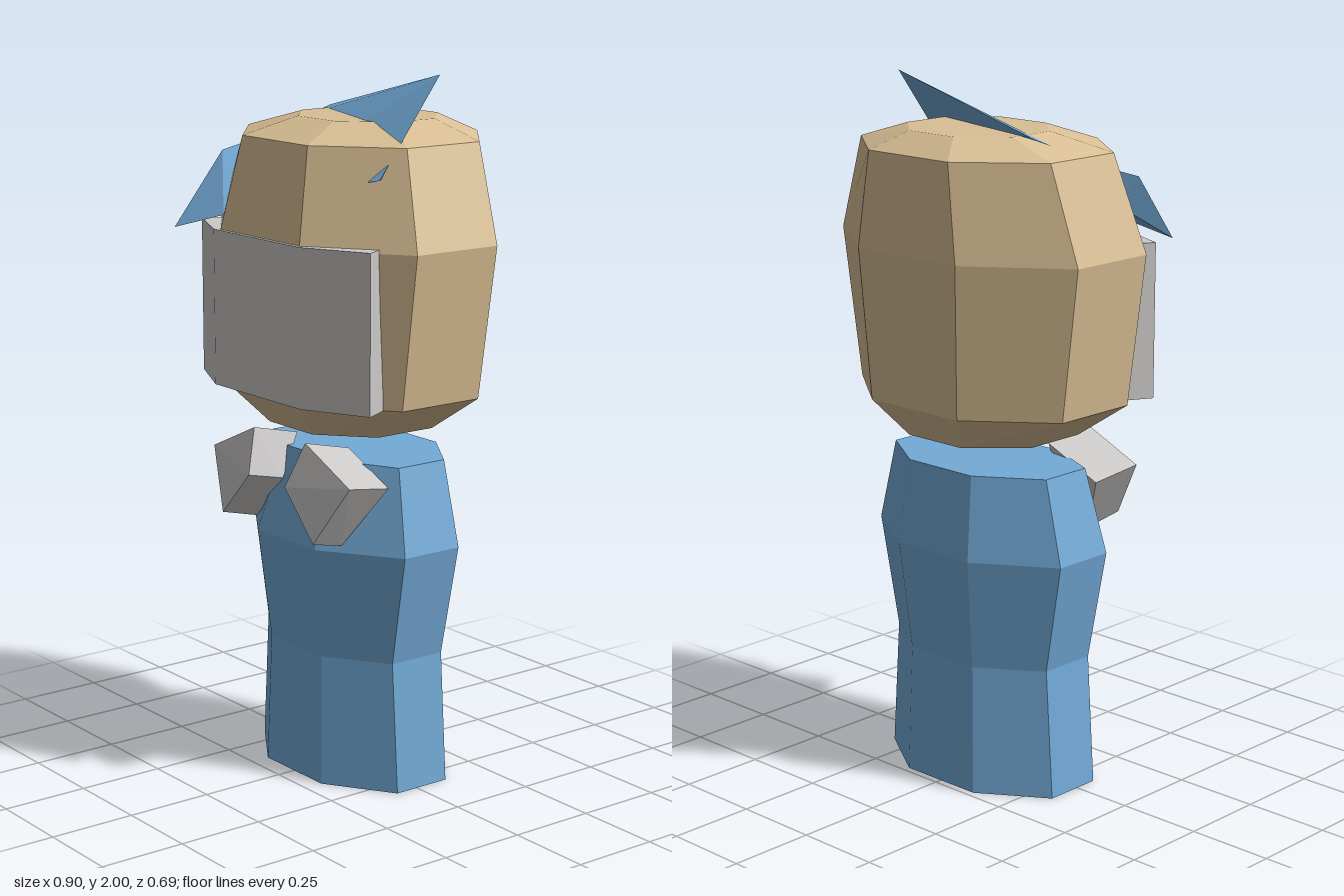
import * as THREE from 'three';
import { ConvexGeometry } from 'three/addons/geometries/ConvexGeometry.js';

function material(name, color) {
  const m = new THREE.MeshStandardMaterial({ color });
  m.name = name;
  return m;
}

// Ring of eight corners: side half-width X, front half-width x, front z, side z (front, back), back z
function ring([y, X, x, zf, sf, sb, zb]) {
  return [[x, zf], [X, sf], [X, sb], [x, zb], [-x, zb], [-X, sb], [-X, sf], [-x, zf]]
    .map(([px, pz]) => [px, y, pz]);
}

// Flat-faced capped solid through rings listed from bottom to top
function loft(levels) {
  const rings = levels.map(ring);
  const pos = [];
  const tri = (a, b, c) => pos.push(...a, ...b, ...c);
  for (let k = 0; k < rings.length - 1; k++) {
    for (let i = 0; i < 8; i++) {
      const j = (i + 1) % 8;
      const lo = rings[k], hi = rings[k + 1];
      tri(lo[i], lo[j], hi[j]);
      tri(lo[i], hi[j], hi[i]);
    }
  }
  const bottom = rings[0], top = rings[rings.length - 1];
  for (let i = 1; i < 7; i++) {
    tri(bottom[0], bottom[i + 1], bottom[i]);
    tri(top[0], top[i], top[i + 1]);
  }
  const g = new THREE.BufferGeometry();
  g.setAttribute('position', new THREE.Float32BufferAttribute(pos, 3));
  g.computeVertexNormals();
  return g;
}

const hull = (pts) => new ConvexGeometry(pts.map((p) => new THREE.Vector3(...p)));

export function createModel() {
  const group = new THREE.Group();
  const skin = material('tan skin', 0xd9bf94);
  const blue = material('blue', 0x73abd8);
  const grey = material('light grey', 0xcbc9c8);
  const add = (name, geometry, mat) => {
    const mesh = new THREE.Mesh(geometry, mat);
    mesh.name = name;
    group.add(mesh);
  };

  // Body with a pinched waist
  add('body', loft([
    [0, 0.32, 0.13, 0.195, 0.07, -0.105, -0.23],
    [0.375, 0.295, 0.12, 0.185, 0.07, -0.105, -0.222],
    [0.695, 0.355, 0.135, 0.22, 0.075, -0.115, -0.255],
    [0.935, 0.295, 0.12, 0.135, 0.05, -0.11, -0.225],
  ]), blue);

  // Faceted head
  add('head', loft([
    [1.015, 0.24, 0.1, 0.2, 0.08, -0.11, -0.245],
    [1.12, 0.39, 0.165, 0.29, 0.115, -0.15, -0.325],
    [1.55, 0.45, 0.185, 0.305, 0.115, -0.16, -0.35],
    [1.82, 0.36, 0.15, 0.25, 0.08, -0.17, -0.34],
    [1.87, 0.2, 0.083, 0.11, 0.003, -0.145, -0.25],
  ]), skin);

  // Bent plate wrapped round the lower face
  const outline = new THREE.Shape([
    [-0.39, -0.225], [-0.2, -0.315], [0.2, -0.315], [0.39, -0.225],
    [0.35, -0.15], [0.18, -0.22], [-0.18, -0.22], [-0.35, -0.15],
  ].map((p) => new THREE.Vector2(...p)));
  const mask = new THREE.ExtrudeGeometry(outline, { depth: 0.44, bevelEnabled: false });
  mask.rotateX(-Math.PI / 2).translate(0, 1.12, 0);
  add('faceMask', mask, grey);

  // Two tilted collar blocks
  for (const [name, s] of [['leftCollar', 1], ['rightCollar', -1]]) {
    add(name, hull([
      [0.12, 1.0, 0.24], [0.32, 0.91, 0.24], [0.215, 0.74, 0.285], [0.085, 0.875, 0.285],
      [0.12, 0.965, 0.09], [0.3, 0.885, 0.09], [0.2, 0.715, 0.175], [0.08, 0.85, 0.17],
    ].map(([x, y, z]) => [s * x, y, z])), grey);
  }

  // Pointed locks of hair rising out of the head
  add('topLock', hull([
    [0.3, 2.0, -0.08], [0.325, 1.825, 0.075], [0.11, 1.855, 0.05],
    [-0.25, 1.872, -0.13], [-0.28, 1.845, -0.075], [-0.2, 1.868, -0.105],
  ]), blue);
  add('sideLock', hull([
    [-0.35, 1.55, 0.345], [-0.385, 1.75, 0.155], [-0.36, 1.77, 0.095],
    [-0.18, 1.6, 0.295], [-0.25, 1.66, 0.23], [-0.34, 1.67, 0.12],
  ]), blue);
  add('smallLock', hull([
    [0.33, 1.78, 0.115], [0.297, 1.73, 0.163], [0.336, 1.738, 0.153], [0.29, 1.74, 0.1],
  ]), blue);

  return group;
}
